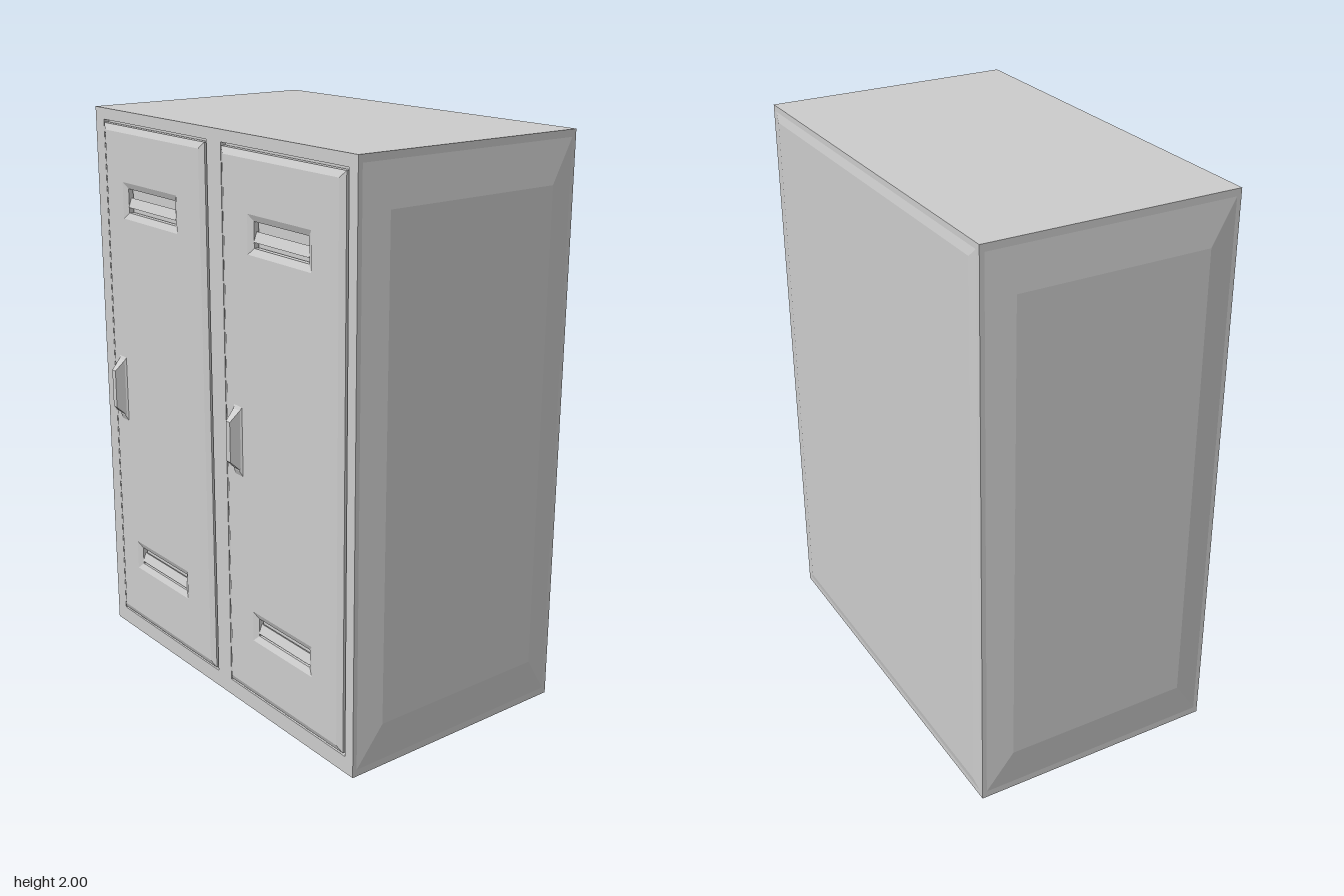
import * as THREE from 'three';

const material = new THREE.MeshStandardMaterial({ color: 0xcccccc, flatShading: true });

function add(parent, name, geometry, x = 0, y = 0, z = 0) {
  const mesh = new THREE.Mesh(geometry, material);
  mesh.name = name;
  mesh.position.set(x, y, z);
  parent.add(mesh);
  return mesh;
}

function rect(Type, x0, x1, y0, y1) {
  return new Type([[x0, y0], [x1, y0], [x1, y1], [x0, y1]].map(p => new THREE.Vector2(...p)));
}

// Box whose +z face is inset by a margin, giving four sloped edges
function taperedPanel(w, h, d, mx, my) {
  const g = new THREE.BoxGeometry(w, h, d);
  const p = g.attributes.position;
  for (let i = 0; i < p.count; i++) {
    if (p.getZ(i) > 0) {
      p.setX(i, p.getX(i) - Math.sign(p.getX(i)) * mx);
      p.setY(i, p.getY(i) - Math.sign(p.getY(i)) * my);
    }
  }
  g.computeVertexNormals();
  return g;
}

// Door with two vent slots, louvres and a handle
function makeDoor(name, x0, x1, ventX0, ventX1, handleX) {
  const door = new THREE.Group();
  door.name = name;
  const vents = [[1.65, 1.735], [0.305, 0.37]];

  const shape = rect(THREE.Shape, x0, x1, 0.07, 1.95);
  vents.forEach(([a, b]) => shape.holes.push(rect(THREE.Path, ventX0, ventX1, a, b)));
  add(door, 'doorPanel', new THREE.ExtrudeGeometry(shape, {
    depth: 0.018, bevelEnabled: true, bevelSegments: 1,
    bevelThickness: 0.01, bevelSize: 0.022, bevelOffset: -0.022,
  }), 0, 0, 0.4);

  vents.forEach(([a, b]) => {
    const louvre = add(door, 'ventLouvre',
      new THREE.BoxGeometry(ventX1 - ventX0, 0.035, 0.008), (ventX0 + ventX1) / 2, (a + b) / 2 - 0.008, 0.41);
    louvre.rotation.x = -0.35;
  });

  // Handle: thin backplate with a tapered pull
  add(door, 'handlePlate', taperedPanel(0.05, 0.26, 0.014, 0.01, 0.03), handleX, 0.99, 0.431);
  add(door, 'handlePull', taperedPanel(0.036, 0.21, 0.036, 0.007, 0.035), handleX, 0.995, 0.452);
  return door;
}

export function createModel() {
  const model = new THREE.Group();
  model.name = 'doubleLocker';

  // Cabinet body
  add(model, 'cabinetBody', new THREE.BoxGeometry(1.46, 2, 0.87), 0, 1, -0.04);

  // Front frame with two door openings
  const frame = rect(THREE.Shape, -0.73, 0.73, 0, 2);
  frame.holes.push(rect(THREE.Path, -0.675, -0.03, 0.06, 1.96));
  frame.holes.push(rect(THREE.Path, 0.05, 0.69, 0.06, 1.96));
  add(model, 'frontFrame', new THREE.ExtrudeGeometry(frame, { depth: 0.021, bevelEnabled: false }), 0, 0, 0.394);

  // Doors
  model.add(makeDoor('rightDoor', -0.668, -0.037, -0.52, -0.22, -0.59));
  model.add(makeDoor('leftDoor', 0.057, 0.683, 0.23, 0.51, 0.14));

  // Shallow raised panels on both sides
  for (const side of [-1, 1]) {
    const panel = add(model, side > 0 ? 'leftSidePanel' : 'rightSidePanel',
      taperedPanel(0.87, 1.97, 0.016, 0.1, 0.15), side * 0.737, 1, -0.03);
    panel.rotation.y = side * Math.PI / 2;
  }

  // Back panel
  add(model, 'backPanel', taperedPanel(1.44, 1.98, 0.008, 0.04, 0.04), 0, 1, -0.477).rotation.y = Math.PI;

  return model;
}
